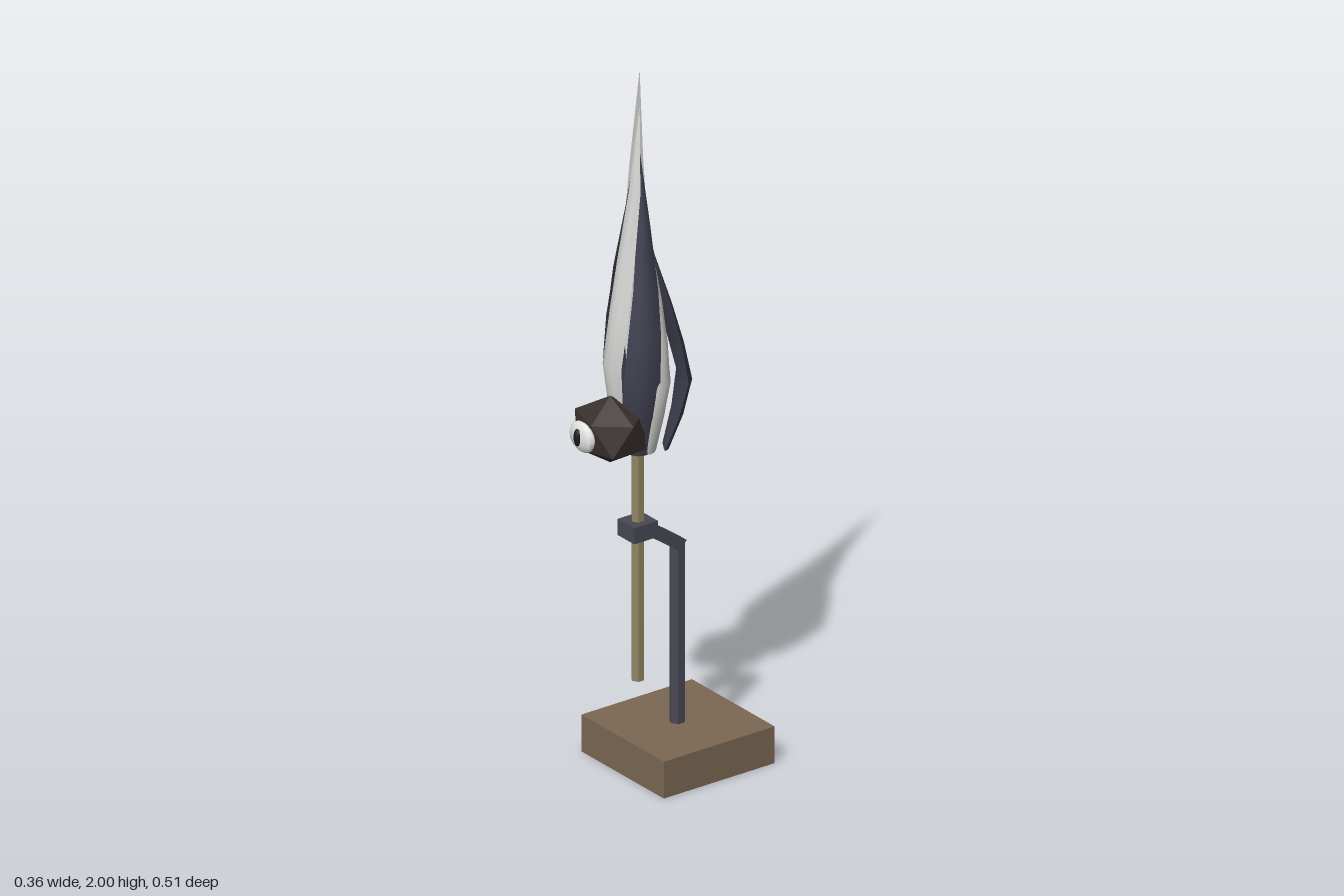
import * as THREE from 'three';
import { toCreasedNormals } from 'three/addons/utils/BufferGeometryUtils.js';
import { ConvexGeometry } from 'three/addons/geometries/ConvexGeometry.js';

const mat = (name, color, flatShading = false) =>
  Object.assign(new THREE.MeshStandardMaterial({ color, flatShading }), { name });

const AXIS_Z = 0.045; // the petals wind around this vertical line
const PETAL_BASE = 0.92;

// rows from base to tip: height fraction, distance from axis, width, thickness
const PETAL_ROWS = [
  [0, 0.55, 0.6, 0.6], [0.13, 0.82, 0.88, 0.9], [0.26, 1, 1, 1], [0.4, 0.86, 0.92, 0.9],
  [0.55, 0.66, 0.72, 0.75], [0.75, 0.33, 0.42, 0.5], [1, 0, 0, 0],
];
// crescent section, counter-clockwise: across, inward shift
const SECTION = [[-1, 0.9], [-0.5, 0.2], [0, 0], [0.5, 0.2], [1, 0.9], [0.5, 1], [0, 1], [-0.5, 1]];

// cupped blade that twists as it rises
function petalGeometry(angleDeg, radius, width, tipY) {
  const pos = [], index = [], n = SECTION.length;
  for (const [t, r, w, k] of PETAL_ROWS) {
    const a = THREE.MathUtils.degToRad(angleDeg + 50 * (t - 0.26));
    const c = Math.cos(a), s = Math.sin(a);
    for (const [across, inward] of SECTION) {
      const out = r * radius - inward * 0.026 * k;
      const side = across * w * width / 2;
      pos.push(c * out - s * side, PETAL_BASE + t * (tipY - PETAL_BASE), AXIS_Z - s * out - c * side);
    }
  }
  for (let i = 0; i < PETAL_ROWS.length - 1; i++) {
    for (let j = 0; j < n; j++) {
      const a = i * n + j, b = i * n + (j + 1) % n;
      index.push(a, b, b + n);
      if (i < PETAL_ROWS.length - 2) index.push(a, b + n, a + n);
    }
  }
  for (let j = 1; j < n - 1; j++) index.push(0, j + 1, j);
  const g = new THREE.BufferGeometry();
  g.setAttribute('position', new THREE.Float32BufferAttribute(pos, 3));
  g.setIndex(index);
  return toCreasedNormals(g, 0.7);
}

// twenty-sided ball standing on a corner
function orbGeometry() {
  const pts = [new THREE.Vector3(0, 1, 0), new THREE.Vector3(0, -1, 0)];
  for (let i = 0; i < 10; i++) {
    const a = i * Math.PI / 5;
    pts.push(new THREE.Vector3(0.894 * Math.cos(a), i % 2 ? -0.447 : 0.447, 0.894 * Math.sin(a)));
  }
  return new ConvexGeometry(pts);
}

export function createModel() {
  const model = new THREE.Group();
  model.name = 'budOnStand';
  const wood = mat('brown wood', 0x7b6853, true);
  const brass = mat('dull brass', 0x8f8663, true);
  const steel = mat('dark steel', 0x474853, true);
  const shell = mat('dark shell', 0x3a312f, true);
  const slate = mat('slate petal', 0x3f404f);
  const pale = mat('pale petal', 0xd6d6d4);
  const white = mat('eye white', 0xe6e6e4);
  const black = mat('pupil black', 0x1c1c1e);

  const add = (name, geometry, material, x, y, z) => {
    const m = new THREE.Mesh(geometry, material);
    m.name = name;
    m.position.set(x, y, z);
    model.add(m);
    return m;
  };

  // stand
  add('base', new THREE.BoxGeometry(0.356, 0.105, 0.357), wood, 0, 0.0525, -0.0785);
  add('post', new THREE.CylinderGeometry(0.022, 0.022, 0.525, 6), steel, 0, 0.3575, -0.076);
  const arm = add('arm', new THREE.BoxGeometry(0.04, 0.034, 0.135), steel, 0, 0.65, -0.027);
  arm.rotation.x = -0.62;
  add('collar', new THREE.BoxGeometry(0.072, 0.046, 0.076), steel, 0, 0.692, 0.051);
  add('stem', new THREE.CylinderGeometry(0.018, 0.018, 0.72, 6), brass, 0, 0.62, 0.051);

  // petals: angle around the axis, bulge, width, tip height
  const petals = [
    ['palePetal', pale, 12, 0.092, 0.085, 1.7],
    ['palePetal', pale, 140, 0.105, 0.09, 2],
    ['palePetal', pale, 262, 0.102, 0.09, 1.9],
    ['slatePetal', slate, 72, 0.14, 0.1, 1.64],
    ['slatePetal', slate, 182, 0.115, 0.095, 1.84],
    ['slatePetal', slate, 328, 0.098, 0.095, 1.77],
  ];
  for (const [name, material, ...shape] of petals) add(name, petalGeometry(...shape), material, 0, 0, 0);

  // orb with an eye on its front
  add('orb', orbGeometry(), shell, 0, 1, 0.14).scale.set(0.113, 0.095, 0.1);
  add('eyeWhite', new THREE.SphereGeometry(1, 10, 8), white, 0, 1.003, 0.23).scale.set(0.052, 0.042, 0.017);
  add('pupil', new THREE.SphereGeometry(1, 8, 6), black, 0, 1.005, 0.246).scale.set(0.012, 0.025, 0.009);

  return model;
}
